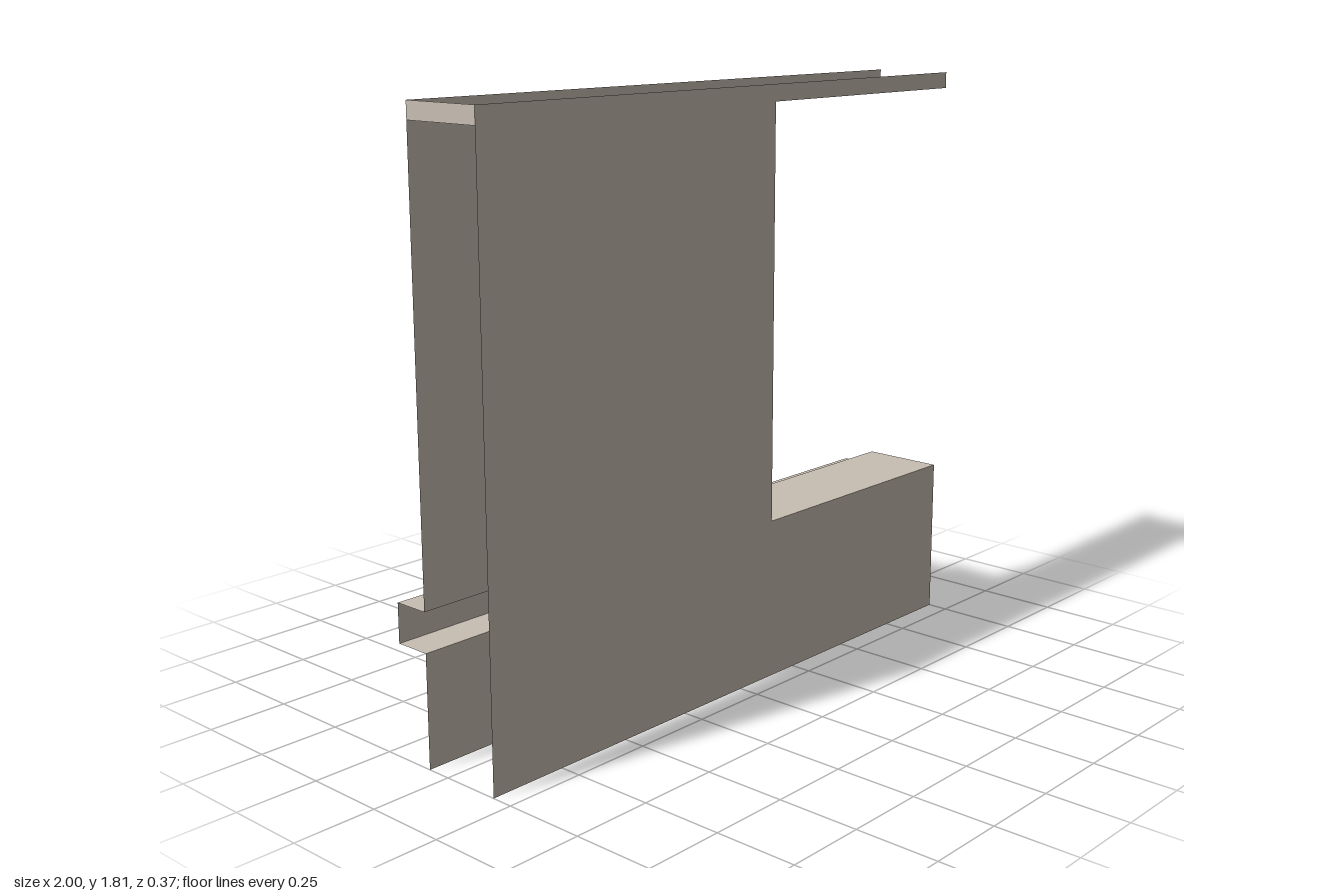
import * as THREE from 'three';

// Key levels of the folded sheet panel
const X0 = -1, X1 = 1, JAMB = 0.14;          // ends and opening edge
const FRONT = 0.185, BACK = -0.075, LEDGE = -0.187;
const TOP = 1.81, HEAD = 1.76, SILL = 0.5;   // lip top, opening top and bottom
const LEDGE_TOP = 0.455, LEDGE_BOTTOM = 0.337;

export function createModel() {
  const group = new THREE.Group();
  const sheet = new THREE.MeshStandardMaterial({ color: 0xc8bfb3, side: THREE.DoubleSide });
  sheet.name = 'warm grey sheet';

  const add = (name, geometry) => {
    const mesh = new THREE.Mesh(geometry, sheet);
    mesh.name = name;
    group.add(mesh);
    return mesh;
  };

  // Upright sheet facing front or back, from an outline in x and y
  const upright = (name, points, z, turned) => {
    const geometry = new THREE.ShapeGeometry(new THREE.Shape(points.map(p => new THREE.Vector2(...p))));
    if (turned) geometry.scale(-1, 1, 1).rotateY(Math.PI).scale(1, 1, -1);
    add(name, geometry).position.z = z;
  };

  // Level sheet between two x and two z values
  const level = (name, xa, xb, za, zb, y) => {
    add(name, new THREE.PlaneGeometry(xb - xa, zb - za).rotateX(-Math.PI / 2))
      .position.set((xa + xb) / 2, y, (za + zb) / 2);
  };

  // Cross sheet facing +x, spanning the panel depth
  const cross = (name, x, ya, yb) => {
    add(name, new THREE.PlaneGeometry(FRONT - BACK, yb - ya).rotateY(Math.PI / 2))
      .position.set(x, (ya + yb) / 2, (FRONT + BACK) / 2);
  };

  // C-shaped face around the opening, down to a chosen lower edge
  const face = bottom => [
    [X0, bottom], [X1, bottom], [X1, SILL], [JAMB, SILL],
    [JAMB, HEAD], [X1, HEAD], [X1, TOP], [X0, TOP],
  ];
  const strip = (ya, yb) => [[X0, ya], [X1, ya], [X1, yb], [X0, yb]];

  // Front and back faces
  upright('frontFace', face(0), FRONT);
  upright('backUpperFace', face(LEDGE_TOP), BACK);
  upright('backLowerFace', strip(0, LEDGE_BOTTOM), BACK);

  // Channel ledge running along the back
  level('ledgeTop', X0, X1, LEDGE, BACK, LEDGE_TOP);
  upright('ledgeFace', strip(LEDGE_BOTTOM, LEDGE_TOP), LEDGE);
  level('ledgeBottom', X0, X1, LEDGE, BACK, LEDGE_BOTTOM);

  // Lining of the opening
  level('sill', JAMB, X1, BACK, FRONT, SILL);
  level('head', JAMB, X1, BACK, FRONT, HEAD);
  cross('jamb', JAMB, SILL, HEAD);

  // Short tie across the open end
  cross('endTie', X0, HEAD, TOP);

  return group;
}
